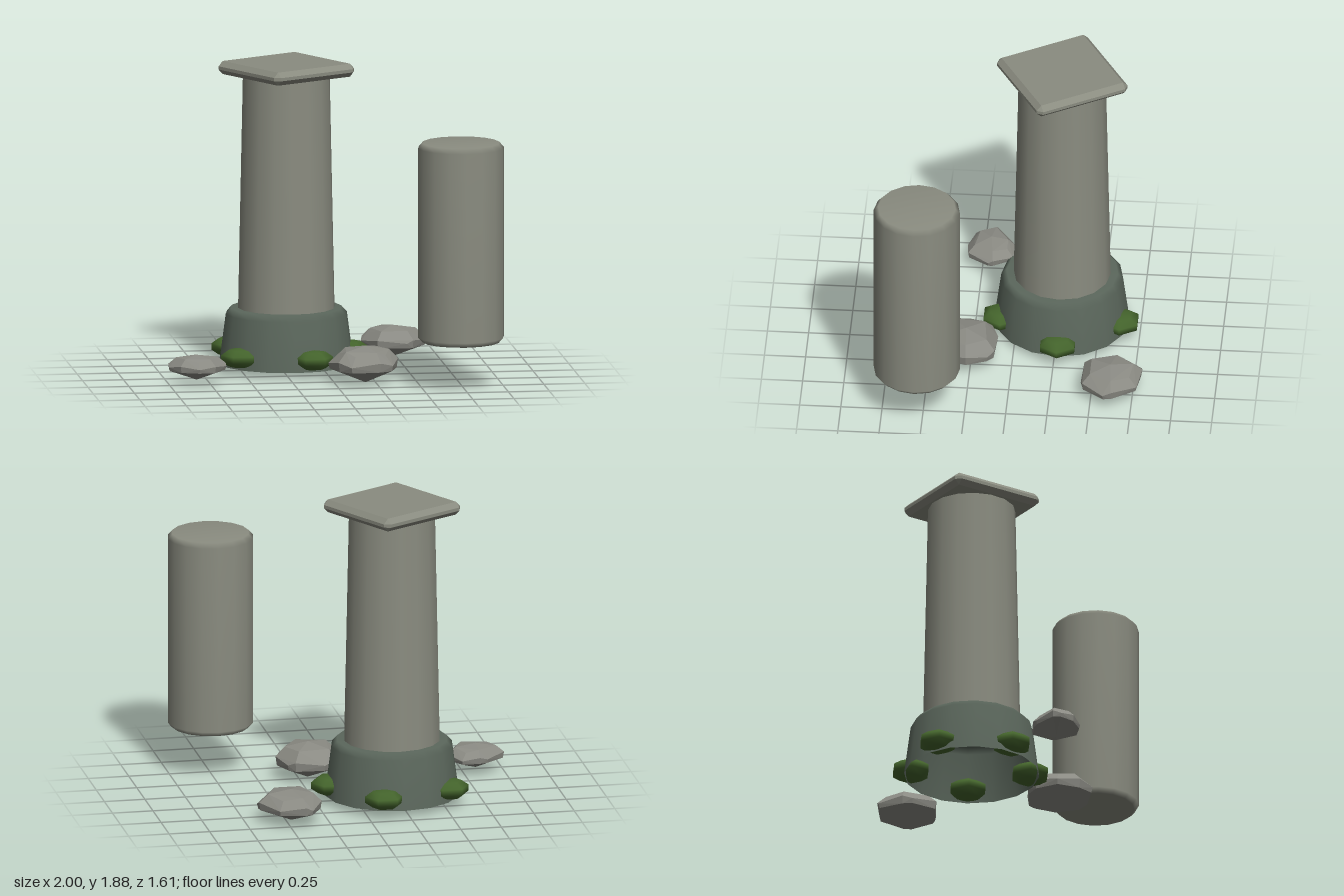
import * as THREE from 'three';
import { ConvexGeometry } from 'three/addons/geometries/ConvexGeometry.js';

const mat = (name, color, opts = {}) => {
  const m = new THREE.MeshStandardMaterial({ color, ...opts });
  m.name = name;
  return m;
};

export function createModel() {
  const stone = mat('weathered stone', 0x8a8c80);
  const rubble = mat('rubble grey', 0x8a8a83);
  const darkStone = mat('dark damp stone', 0x5b675c, { side: THREE.DoubleSide });
  const moss = mat('moss green', 0x44642c);

  const root = new THREE.Group();
  root.name = 'ruinedPillar';
  const add = (parent, name, geo, material) => {
    const mesh = new THREE.Mesh(geo, material);
    mesh.name = name;
    parent.add(mesh);
    return mesh;
  };
  const lathe = (profile, sides = 16) =>
    new THREE.LatheGeometry(profile.map(([r, y]) => new THREE.Vector2(r, y)), sides);

  // Standing pillar
  const pillar = new THREE.Group();
  pillar.name = 'standingPillar';
  pillar.position.set(-0.22, 0, -0.273);
  root.add(pillar);

  // Flared base, open underneath
  add(pillar, 'base', lathe([[0.41, 0.04], [0.37, 0.345], [0.338, 0.38], [0, 0.38]]), darkStone);
  add(pillar, 'shaft', lathe([[0.295, 0.345], [0.265, 1.81]]), stone);

  // Bevelled square capstone: hull of three overlapping boxes
  const w = 0.305, h = 0.04, b = 0.03, corners = [];
  for (const [x, y, z] of [[w, h - b, w - b], [w - b, h, w - b], [w - b, h - b, w]])
    for (const sx of [-1, 1]) for (const sy of [-1, 1]) for (const sz of [-1, 1])
      corners.push(new THREE.Vector3(sx * x, sy * y, sz * z));
  const cap = add(pillar, 'capstone', new ConvexGeometry(corners), stone);
  cap.position.y = 1.84;
  cap.rotation.y = Math.PI / 6;

  // Moss clumps spaced around the base
  for (let i = 0; i < 5; i++) {
    const a = (i * Math.PI * 2) / 5;
    const clump = add(pillar, 'mossClump', new THREE.SphereGeometry(0.126, 6, 5), moss);
    clump.position.set(0.38 * Math.cos(a), 0.11, 0.38 * Math.sin(a));
    clump.scale.y = 0.5;
  }

  // Broken column drum
  const drum = add(root, 'columnDrum', lathe([
    [0, 0.28], [0.235, 0.28], [0.262, 0.31], [0.262, 1.47], [0.235, 1.5], [0, 1.5],
  ]), stone);
  drum.position.set(0.738, 0, 0.54);

  // Rocks: x/z outline swept through scaled rings between a low and a high point
  const rock = (name, cx, cz, y0, y1, outline) => {
    const height = y1 - y0;
    const pts = [new THREE.Vector3(cx, y0, cz), new THREE.Vector3(cx, y1, cz)];
    outline.forEach(([x, z], i) => {
      const wobble = i % 2 ? 0.05 : -0.05;
      for (const [s, t] of [[0.96, 0.38], [1, 0.58 + wobble], [0.72, 0.84 + wobble]])
        pts.push(new THREE.Vector3(cx + (x - cx) * s, y0 + height * t, cz + (z - cz) * s));
    });
    add(root, name, new ConvexGeometry(pts), rubble);
  };
  rock('frontRock', 0.19, 0.28, 0, 0.225, [
    [0.12, 0.09], [0.30, 0.10], [0.34, 0.14], [0.39, 0.27], [0.34, 0.42],
    [0.26, 0.465], [0.08, 0.48], [0.01, 0.40], [-0.035, 0.26], [0.04, 0.13],
  ]);
  rock('backRock', 0.47, -0.615, 0.005, 0.2, [
    [0.37, -0.8], [0.41, -0.805], [0.57, -0.78], [0.67, -0.63], [0.675, -0.58],
    [0.58, -0.45], [0.54, -0.44], [0.36, -0.45], [0.28, -0.60], [0.29, -0.66],
  ]);
  rock('sideRock', -0.83, 0.2, 0.025, 0.178, [
    [-0.88, 0.075], [-0.83, 0.06], [-0.72, 0.06], [-0.65, 0.18], [-0.65, 0.21],
    [-0.73, 0.335], [-0.83, 0.345], [-0.94, 0.30], [-1, 0.22], [-1, 0.17],
  ]);

  return root;
}
